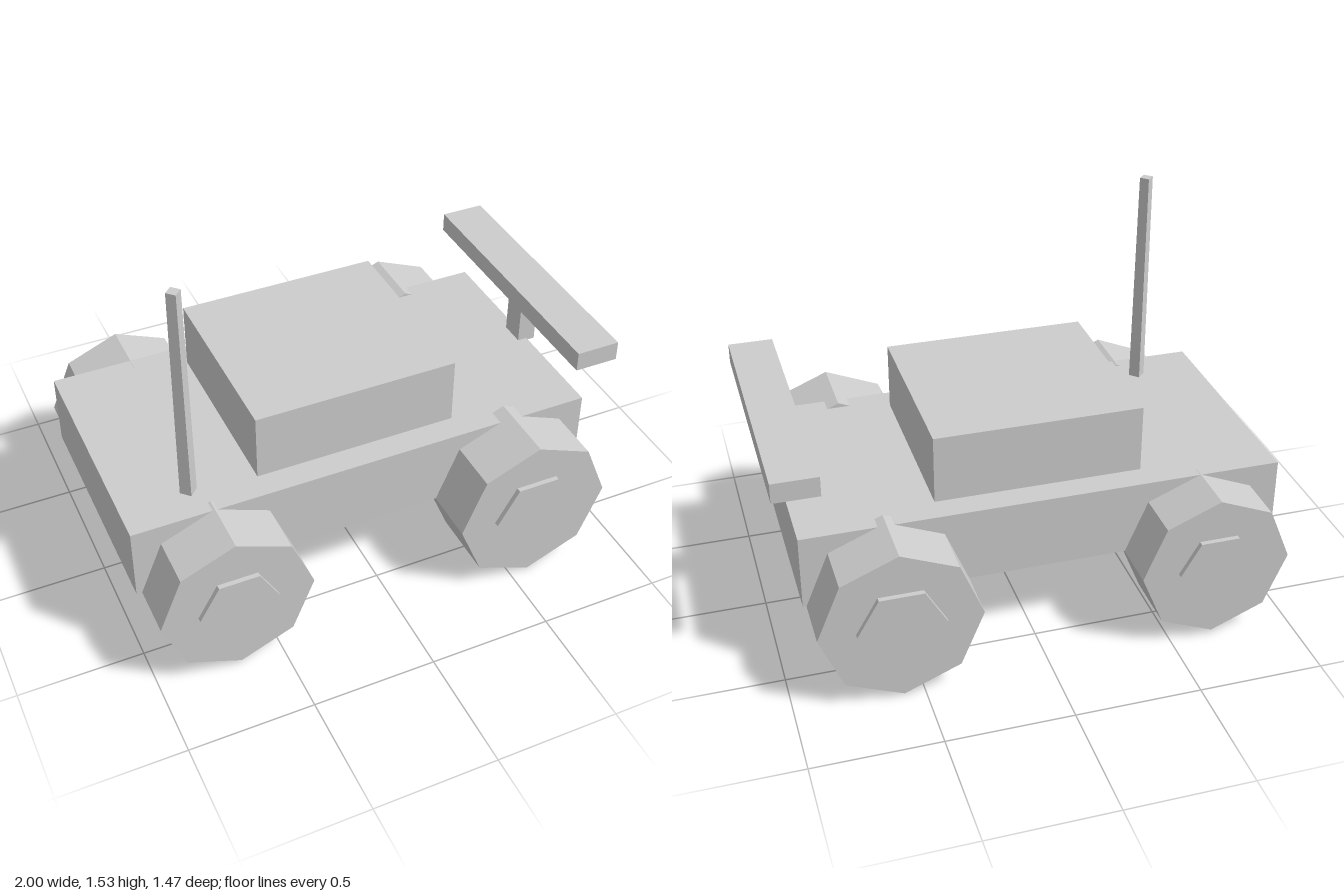
import * as THREE from 'three';

export function createModel() {
  const model = new THREE.Group();
  model.name = 'buggy';
  const grey = new THREE.MeshStandardMaterial({ color: 0xcccccc, flatShading: true });
  grey.name = 'lightGrey';

  function add(parent, name, geometry) {
    const mesh = new THREE.Mesh(geometry, grey);
    mesh.name = name;
    parent.add(mesh);
    return mesh;
  }

  // Box given by its minimum and maximum along x and y, and its half width in z
  function box(name, x0, x1, y0, y1, halfZ) {
    add(model, name, new THREE.BoxGeometry(x1 - x0, y1 - y0, halfZ * 2))
      .position.set((x0 + x1) / 2, (y0 + y1) / 2, 0);
  }

  // Disc with its axis along z, reaching from z0 to z1
  function disc(parent, name, radius, sides, z0, z1, start) {
    const geometry = new THREE.CylinderGeometry(radius, radius, Math.abs(z1 - z0), sides, 1, false, start);
    geometry.rotateX(Math.PI / 2);
    add(parent, name, geometry).position.z = (z0 + z1) / 2;
  }

  // Body, cabin and spoiler
  box('body', -1, 0.91, 0.323, 0.624, 0.492);
  box('cabin', -0.46, 0.37, 0.61, 0.9, 0.386);
  box('spoilerPost', 0.87, 0.947, 0.614, 0.845, 0.051);
  box('spoilerWing', 0.82, 1, 0.837, 0.918, 0.553);

  // Square tapered antenna
  add(model, 'antenna', new THREE.CylinderGeometry(0.028, 0.034, 0.925, 4))
    .position.set(-0.725, 1.0725, 0.352);

  // Wheels: x, side, tyre radius, tyre inner/outer z, hub radius, hub inner/outer z
  const wheels = [
    [0.582, 1, 0.322, 0.426, 0.714, 0.175, 0.402, 0.734],
    [0.581, -1, 0.315, 0.436, 0.712, 0.172, 0.416, 0.733],
    [-0.672, 1, 0.306, 0.443, 0.701, 0.16, 0.424, 0.721],
    [-0.672, -1, 0.303, 0.443, 0.695, 0.156, 0.424, 0.715],
  ];
  for (const [x, side, tyreR, tyreIn, tyreOut, hubR, hubIn, hubOut] of wheels) {
    const wheel = new THREE.Group();
    wheel.name = 'wheel';
    wheel.position.set(x, 0.322, 0);
    disc(wheel, 'tyre', tyreR, 8, side * tyreIn, side * tyreOut, 0);
    disc(wheel, 'hub', hubR, 6, side * hubIn, side * hubOut, Math.PI / 2);
    model.add(wheel);
  }

  return model;
}
